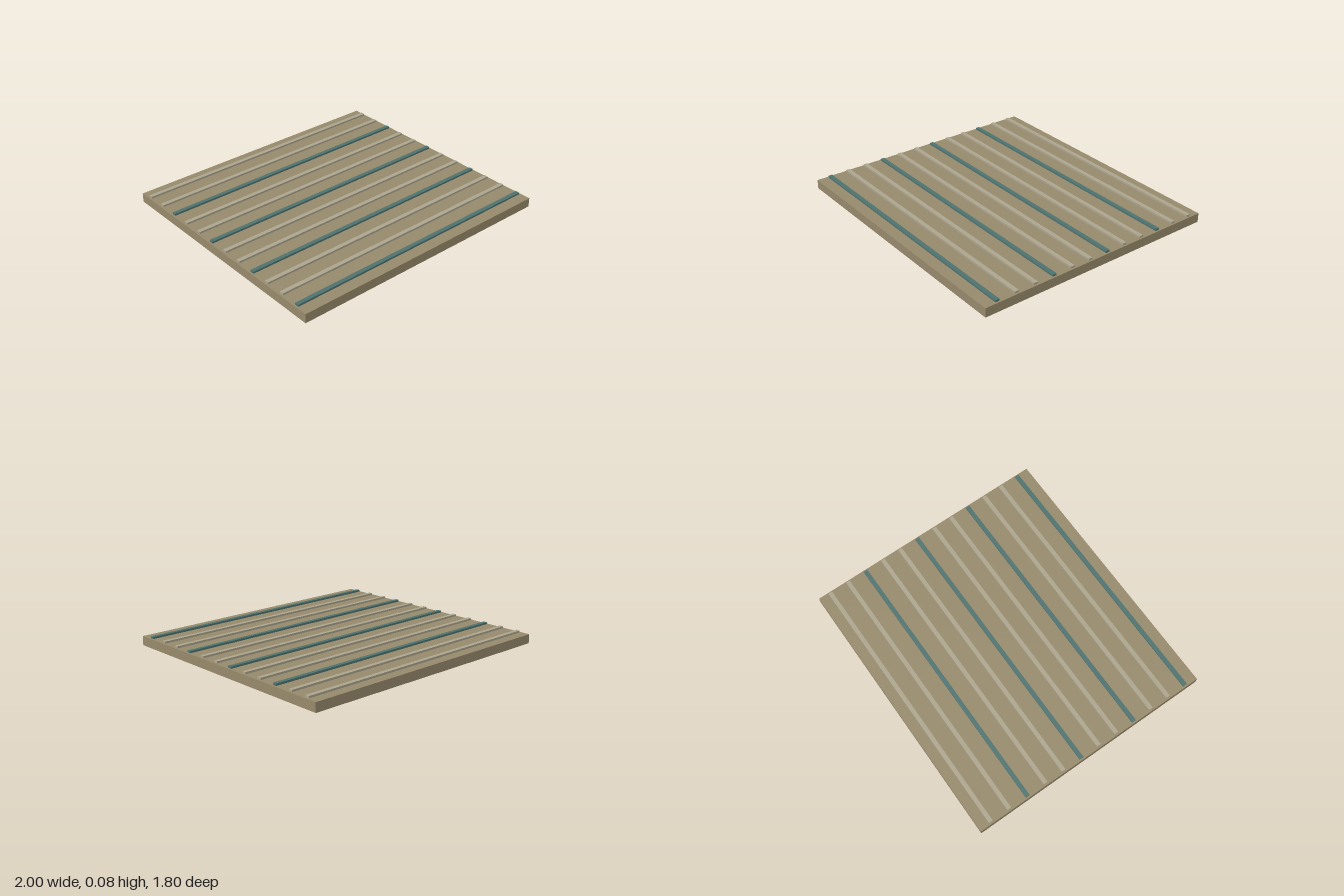
import * as THREE from 'three';

export function createModel() {
  const group = new THREE.Group();
  const material = (color) => new THREE.MeshStandardMaterial({ color });
  const slabMaterial = material(0x978a6c);
  const paleMaterial = material(0xaca58e);
  const tealMaterial = material(0x4f7370);

  const slabHeight = 0.066, topHeight = 0.08;

  // Flat base slab
  const slab = new THREE.Mesh(new THREE.BoxGeometry(2, slabHeight, 1.8), slabMaterial);
  slab.name = 'slab';
  slab.position.y = slabHeight / 2;
  group.add(slab);

  // Twelve raised strips from back to front, every third one teal
  const sunk = 0.004;
  const stripHeight = topHeight - slabHeight + sunk;
  const stripGeometry = new THREE.BoxGeometry(1.975, stripHeight, 0.03);
  for (let i = 0; i < 12; i++) {
    const teal = i % 3 === 2;
    const strip = new THREE.Mesh(stripGeometry, teal ? tealMaterial : paleMaterial);
    strip.name = (teal ? 'tealStrip' : 'paleStrip') + (i + 1);
    strip.position.set(0, topHeight - stripHeight / 2, -0.812 + i * 0.1468);
    group.add(strip);
  }
  return group;
}
